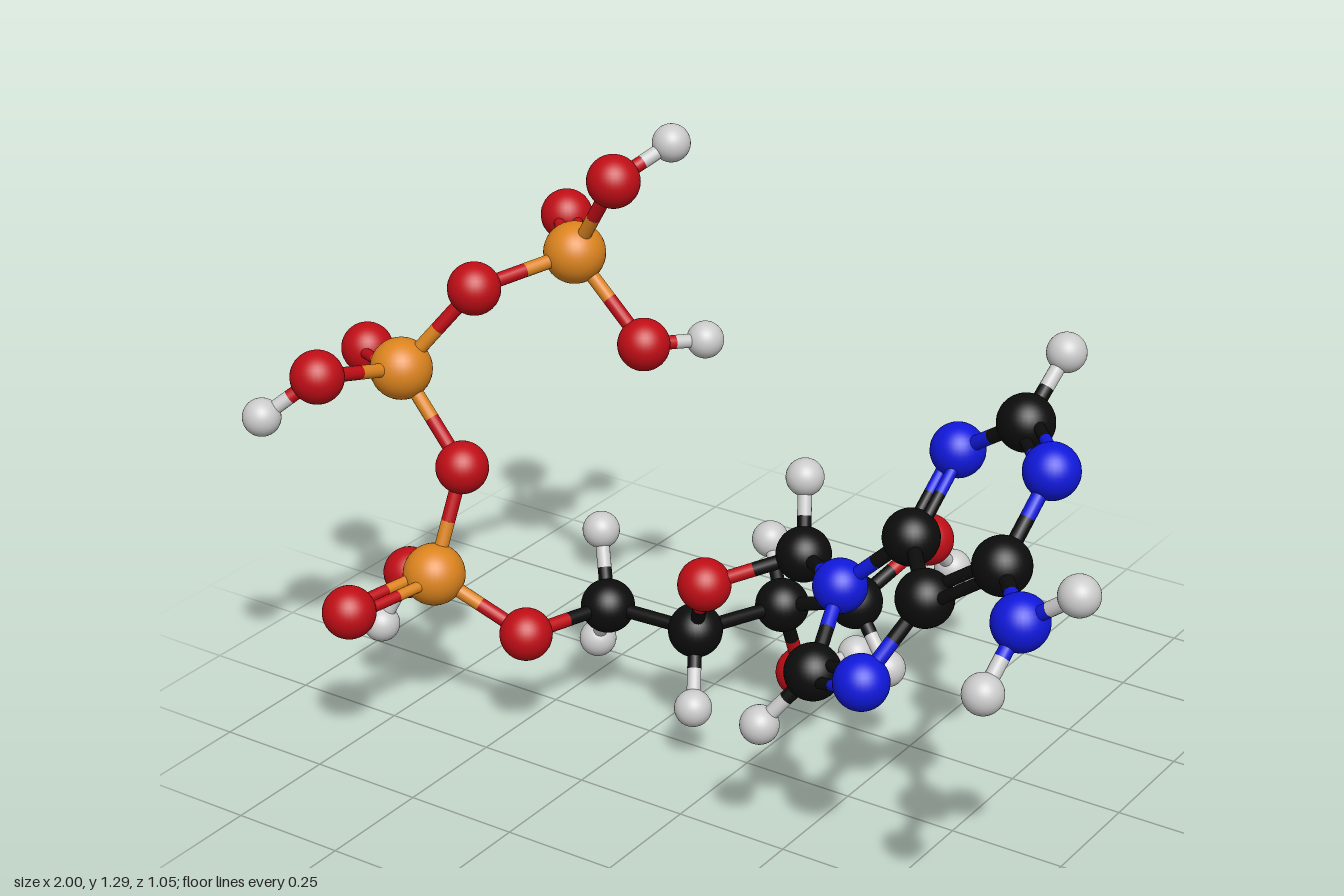
import * as THREE from 'three';

// Element: colour and ball radius
const ELEMENTS = {
  C: { name: 'carbon', color: 0x0c0c0c, r: 0.058 },
  O: { name: 'oxygen', color: 0xc00d16, r: 0.056 },
  N: { name: 'nitrogen', color: 0x1018dc, r: 0.056 },
  P: { name: 'phosphorus', color: 0xdc841e, r: 0.066 },
  H: { name: 'hydrogen', color: 0xcccccc, r: 0.04 },
};

// Atoms by group; the first letter of each key is the element
const GROUPS = {
  phosphateChain: {
    P1: [-0.527, 0.998, -0.144], O1a: [-0.398, 1.192, -0.108], H1a: [-0.334, 1.253, -0.225],
    O1b: [-0.67, 1.0, -0.312], O1c: [-0.361, 0.823, -0.155], H1c: [-0.286, 0.81, -0.274],
    O12: [-0.628, 0.966, 0.071],
    P2: [-0.762, 0.786, 0.156], O2a: [-0.947, 0.75, 0.043],
    O2b: [-0.789, 0.844, 0.39], H2b: [-0.874, 0.764, 0.47],
    O23: [-0.607, 0.599, 0.16],
    P3: [-0.623, 0.382, 0.248], O3a: [-0.671, 0.374, 0.469],
    O3b: [-0.8, 0.282, 0.116], H3b: [-0.855, 0.157, 0.152],
    O3c: [-0.43, 0.27, 0.19],
  },
  sugar: {
    C5s: [-0.369, 0.264, -0.02], H5sa: [-0.43, 0.402, -0.085], H5sb: [-0.441, 0.139, -0.08],
    C4s: [-0.15, 0.264, -0.03], H4s: [-0.096, 0.135, 0.06],
    C3s: [-0.07, 0.254, -0.243], H3s: [-0.163, 0.347, -0.34],
    O3s: [-0.065, 0.06, -0.314], HO3s: [-0.003, 0.067, -0.441],
    C2s: [0.131, 0.332, -0.214], H2s: [0.238, 0.226, -0.167],
    O2s: [0.2, 0.423, -0.391], HO2s: [0.207, 0.317, -0.49],
    C1s: [0.099, 0.498, -0.06], H1s: [0.061, 0.638, -0.123],
    O4s: [-0.067, 0.432, 0.058],
  },
  doubleRing: {
    N9: [0.267, 0.528, 0.07], C8: [0.31, 0.423, 0.238], H8: [0.222, 0.304, 0.294],
    N7: [0.473, 0.488, 0.325], C5: [0.54, 0.636, 0.207], C4: [0.414, 0.666, 0.047],
    N3: [0.43, 0.801, -0.1], C2: [0.595, 0.912, -0.069], H2: [0.618, 1.024, -0.181],
    N1: [0.73, 0.9, 0.075], C6: [0.709, 0.756, 0.217],
    N6: [0.835, 0.742, 0.373], H6a: [0.954, 0.832, 0.379], H6b: [0.82, 0.638, 0.477],
  },
};

// Bonds: '-' single, '=' double
const BONDS = {
  phosphateChain: 'P1-O1a O1a-H1a P1=O1b P1-O1c O1c-H1c P1-O12 O12-P2 P2=O2a P2-O2b O2b-H2b ' +
    'P2-O23 O23-P3 P3=O3a P3-O3b O3b-H3b P3-O3c O3c-C5s',
  sugar: 'C5s-H5sa C5s-H5sb C5s-C4s C4s-H4s C4s-C3s C3s-H3s C3s-O3s O3s-HO3s C3s-C2s C2s-H2s ' +
    'C2s-O2s O2s-HO2s C2s-C1s C1s-H1s C1s-O4s O4s-C4s C1s-N9',
  doubleRing: 'N9-C8 C8-H8 C8=N7 N7-C5 C5-C4 C4-N9 C4=N3 N3-C2 C2-H2 C2=N1 N1-C6 C6=C5 ' +
    'C6-N6 N6-H6a N6-H6b',
};

const UP = new THREE.Vector3(0, 1, 0);
const RING_NORMAL = new THREE.Vector3(-0.53, 0.65, 0.53);

export function createModel() {
  const model = new THREE.Group();
  model.name = 'molecule';

  const ball = new THREE.SphereGeometry(1, 32, 20);
  const rod = new THREE.CylinderGeometry(1, 1, 1, 16, 1, true);
  const materials = {};
  for (const key in ELEMENTS) {
    materials[key] = new THREE.MeshStandardMaterial({ color: ELEMENTS[key].color });
  }

  // Half a bond, in the colour of the atom it starts from
  function addRod(parent, from, to, radius, element) {
    const dir = to.clone().sub(from);
    const mesh = new THREE.Mesh(rod, materials[element]);
    mesh.name = ELEMENTS[element].name + 'Bond';
    mesh.scale.set(radius, dir.length(), radius);
    mesh.position.copy(from).add(to).multiplyScalar(0.5);
    mesh.quaternion.setFromUnitVectors(UP, dir.normalize());
    parent.add(mesh);
  }

  // Balls
  const atoms = {};
  const groups = {};
  for (const part in GROUPS) {
    const group = groups[part] = new THREE.Group();
    group.name = part;
    model.add(group);
    for (const [id, p] of Object.entries(GROUPS[part])) {
      const element = id[0];
      const mesh = new THREE.Mesh(ball, materials[element]);
      mesh.name = ELEMENTS[element].name + 'Atom';
      mesh.position.set(...p);
      mesh.scale.setScalar(ELEMENTS[element].r);
      group.add(mesh);
      atoms[id] = mesh.position;
    }
  }

  // Sticks, each split at the middle; double bonds are two thinner parallel rods
  for (const part in BONDS) {
    const normal = part === 'doubleRing' ? RING_NORMAL : UP;
    for (const bond of BONDS[part].split(' ')) {
      const isDouble = bond.includes('=');
      const [idA, idB] = bond.split(/[-=]/);
      const a = atoms[idA], b = atoms[idB];
      const side = b.clone().sub(a).cross(normal).normalize();
      for (const shift of isDouble ? [-0.019, 0.019] : [0]) {
        const start = a.clone().addScaledVector(side, shift);
        const end = b.clone().addScaledVector(side, shift);
        const middle = start.clone().lerp(end, 0.5);
        const radius = isDouble ? 0.012 : 0.015;
        addRod(groups[part], start, middle, radius, idA[0]);
        addRod(groups[part], end, middle, radius, idB[0]);
      }
    }
  }
  return model;
}
